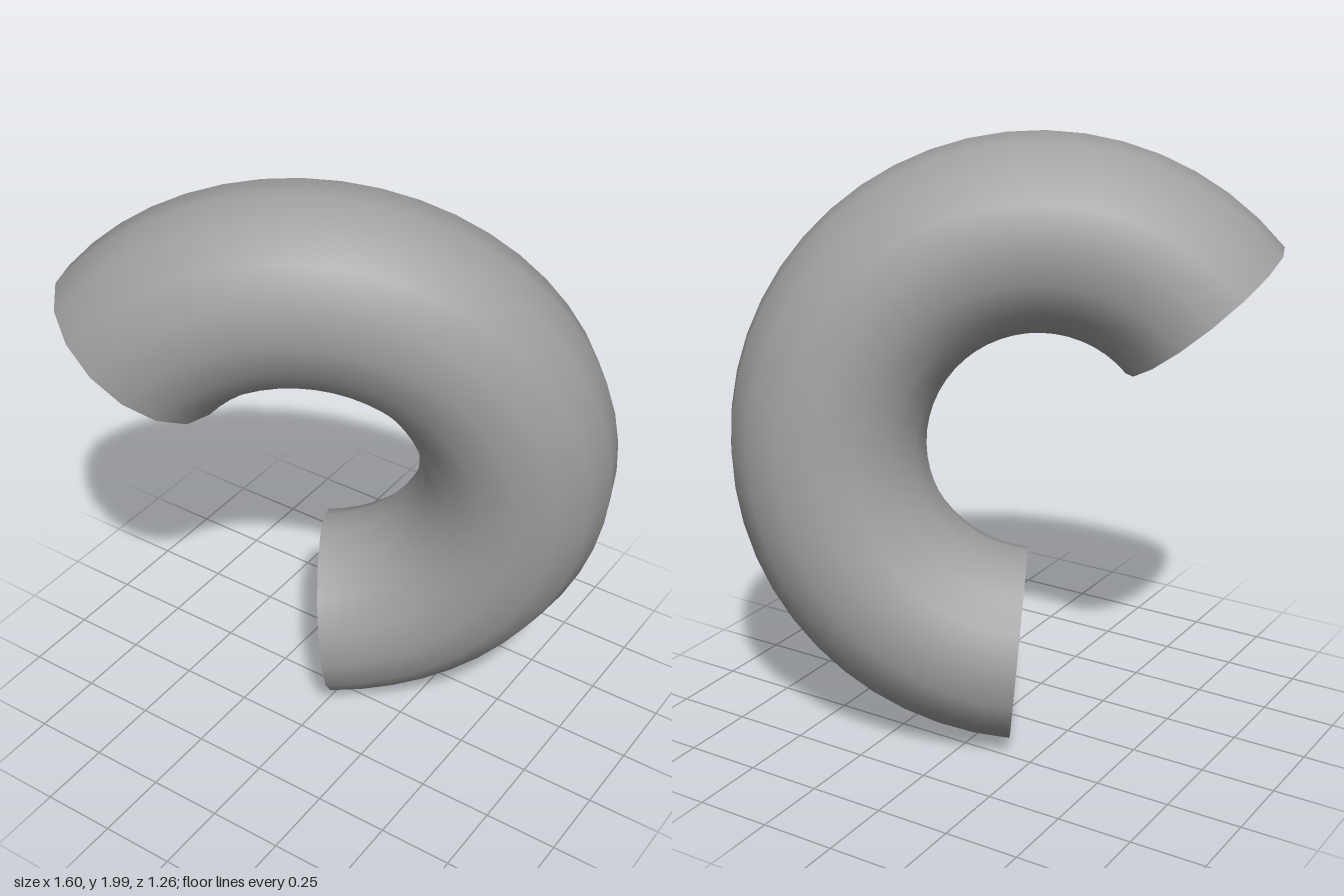
import * as THREE from 'three';

export function createModel() {
  const group = new THREE.Group();
  group.name = 'openRing';

  const grey = new THREE.MeshStandardMaterial({ color: 0xa0a0a0, side: THREE.DoubleSide });
  grey.name = 'grey';

  // Open-ended curved tube: 225 degrees of a torus
  const deg = Math.PI / 180;
  const tube = new THREE.Mesh(new THREE.TorusGeometry(0.684, 0.32, 16, 32, 225 * deg), grey);
  tube.name = 'curvedTube';

  // Spin the opening to the side, lean the top forward, then turn
  tube.rotation.set(0.1, 29.3 * deg, -85 * deg, 'YXZ');
  tube.position.set(-0.11, 1, 0.03);
  group.add(tube);
  return group;
}
